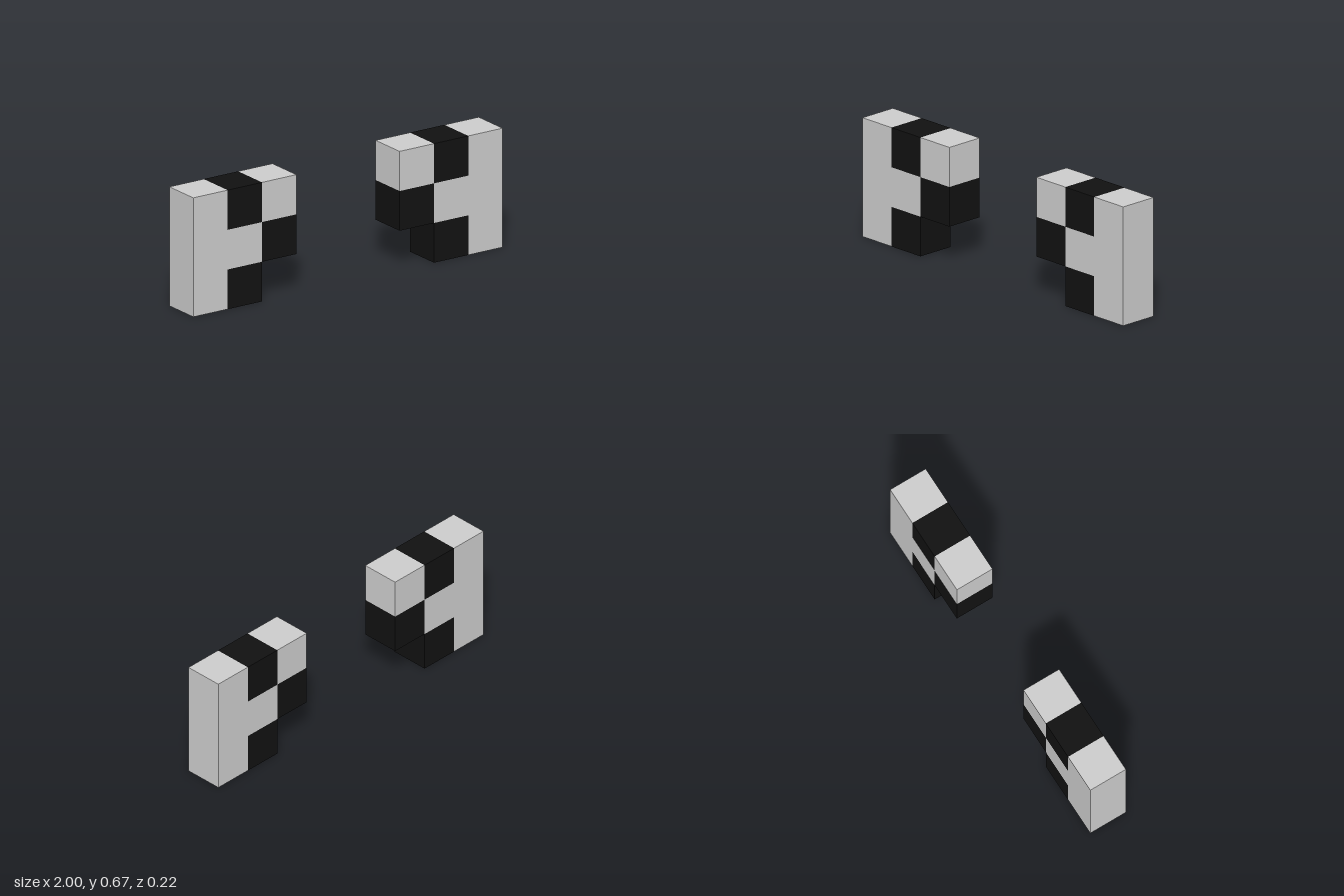
import * as THREE from 'three';

const CELL = 2 / 9; // the model is nine cells wide

export function createModel() {
  const model = new THREE.Group();
  const light = new THREE.MeshStandardMaterial({ color: 0xcccccc });
  const dark = new THREE.MeshStandardMaterial({ color: 0x111111 });

  // Blocks of one half: name, column (cells from the centre), row, height in cells, material
  const blocks = [
    ['outerColumn', 4, 0, 3, light],
    ['middleArm', 3, 1, 1, light],
    ['innerCorner', 2, 2, 1, light],
    ['upperDarkBlock', 3, 2, 1, dark],
    ['innerDarkBlock', 2, 1, 1, dark],
    ['lowerDarkBlock', 3, 0, 1, dark],
  ];

  // The two halves mirror each other across x = 0
  for (const [side, sign] of [['left', 1], ['right', -1]]) {
    const half = new THREE.Group();
    half.name = side + 'Half';
    for (const [name, column, row, height, material] of blocks) {
      const block = new THREE.Mesh(new THREE.BoxGeometry(CELL, height * CELL, CELL), material);
      block.name = name;
      block.position.set(sign * column * CELL, (row + height / 2) * CELL, 0);
      half.add(block);
    }
    model.add(half);
  }
  return model;
}
